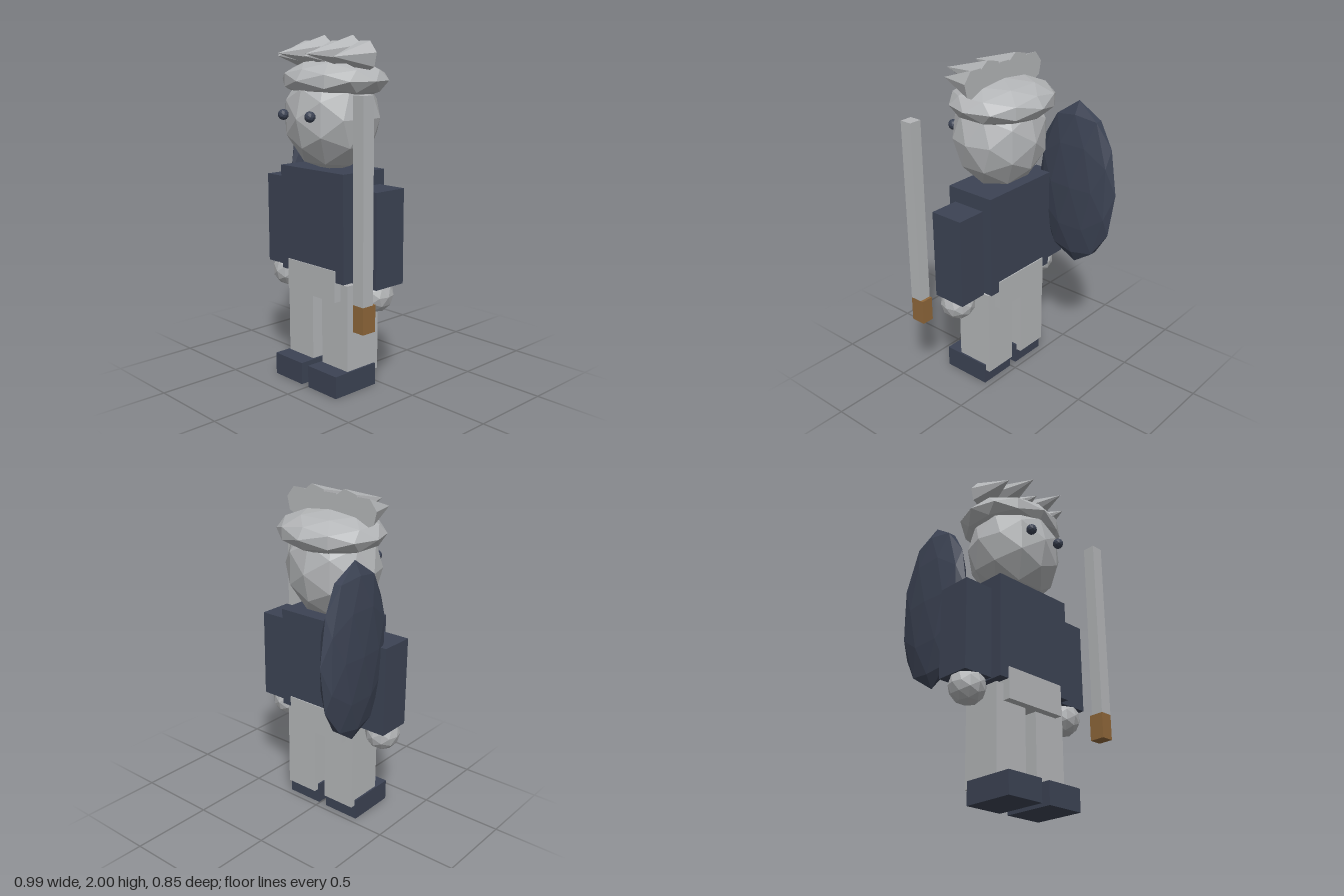
import * as THREE from 'three';

export function createModel() {
  const model = new THREE.Group();
  model.name = 'guard';

  const material = (name, color) => {
    const m = new THREE.MeshStandardMaterial({ color, flatShading: true });
    m.name = name;
    return m;
  };
  const grey = material('light grey', 0xb4b6b8);
  const navy = material('dark navy', 0x3c4354);
  const brown = material('wood brown', 0x8f673a);

  const add = (name, geometry, mat, x, y, z) => {
    const mesh = new THREE.Mesh(geometry, mat);
    mesh.name = name;
    mesh.position.set(x, y, z);
    model.add(mesh);
    return mesh;
  };
  // Box given by its lower and upper limits on each axis
  const box = (name, mat, [x0, x1], [y0, y1], [z0, z1]) =>
    add(name, new THREE.BoxGeometry(x1 - x0, y1 - y0, z1 - z0), mat,
      (x0 + x1) / 2, (y0 + y1) / 2, (z0 + z1) / 2);
  // Faceted ellipsoid
  const ball = (name, mat, [x, y, z], [rx, ry, rz]) =>
    add(name, new THREE.IcosahedronGeometry(1, 1).scale(rx, ry, rz), mat, x, y, z);

  const cx = -0.0225; // middle of the body

  // Torso and hips
  box('torso', navy, [-0.285, 0.24], [0.65, 1.265], [-0.025, 0.29]);
  box('hips', grey, [-0.225, 0.175], [0.535, 0.717], [-0.032, 0.296]);

  // Limbs, mirrored about the middle of the body
  for (const [side, s] of [['left', 1], ['right', -1]]) {
    const span = (a, b) => (s > 0 ? [cx + a, cx + b] : [cx - b, cx - a]);
    box(side + 'Arm', navy, span(0.275, 0.459), [0.65, 1.185], [0.023, 0.233]);
    ball(side + 'Hand', grey, [cx + s * 0.367, 0.597, 0.147], [0.104, 0.104, 0.104]);
    box(side + 'Leg', grey, span(0.04, 0.252), [0.09, 0.632], [0.01, 0.25]);
    box(side + 'Foot', navy, span(0.028, 0.263), [0, 0.13], [0.04, 0.35]);
    ball(side + 'Eye', navy, [cx + s * 0.111, 1.57, 0.39], [0.031, 0.031, 0.031]);
  }

  // Head and flattened hair cap
  ball('head', grey, [cx, 1.55, 0.13], [0.288, 0.31, 0.264]);
  ball('hairCap', grey, [cx, 1.755, 0.105], [0.327, 0.12, 0.285]);

  // Row of forward-pointing hair spikes with a shared back plane
  for (let i = 0; i < 5; i++) {
    const tall = i % 2 === 1;
    const length = tall ? 0.325 : 0.235;
    const cone = new THREE.ConeGeometry(tall ? 0.1 : 0.09, length, 7);
    cone.rotateX(Math.PI / 2).rotateZ(tall ? 0.25 : 0);
    add('hairSpike' + (i + 1), cone, grey,
      cx + (i - 2) * 0.115, tall ? 1.902 : 1.887, 0.095 + length / 2);
  }

  // Oval shield beside the right shoulder
  ball('shield', navy, [-0.39, 1.19, -0.151], [0.076, 0.52, 0.278]);

  // Sword on the left
  box('swordBlade', grey, [0.417, 0.492], [0.6, 1.7], [0.312, 0.386]);
  box('swordHandle', brown, [0.417, 0.492], [0.45, 0.6], [0.295, 0.386]);

  return model;
}
